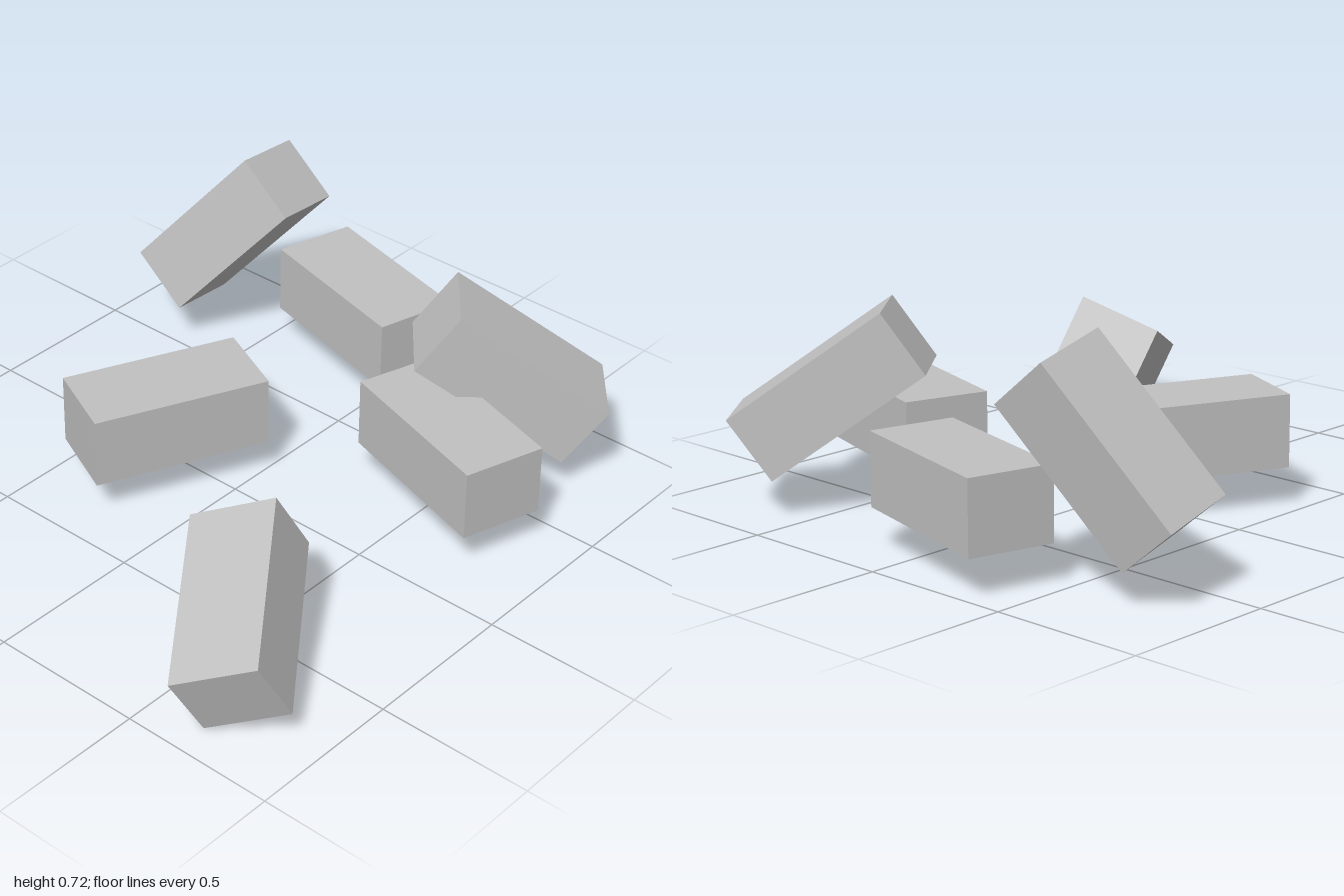
import * as THREE from 'three';

export function createModel() {
  const model = new THREE.Group();
  model.name = 'scatteredBricks';

  const brickGrey = new THREE.MeshStandardMaterial({ color: 0xc0c0c0 });
  brickGrey.name = 'brickGrey';

  // One brick shape shared by all: length, height, width
  const brick = new THREE.BoxGeometry(0.571, 0.228, 0.27);

  // Places a brick by its centre, its long direction and its up direction
  function addBrick(name, centre, along, up = [0, 1, 0]) {
    const x = new THREE.Vector3(...along).normalize();
    const z = x.clone().cross(new THREE.Vector3(...up)).normalize();
    const y = z.clone().cross(x);
    const mesh = new THREE.Mesh(brick, brickGrey);
    mesh.name = name;
    mesh.quaternion.setFromRotationMatrix(new THREE.Matrix4().makeBasis(x, y, z));
    mesh.position.set(...centre);
    model.add(mesh);
  }

  // Level bricks
  addBrick('middleBrick', [-0.217, 0.243, 0.077], [-0.237, 0, 0.52]);
  addBrick('backBrick', [-0.15, 0.243, -0.798], [0.55, 0, 0.147]);
  addBrick('leftBrick', [0.548, 0.243, -0.355], [0.55, 0, 0.173]);

  // Tumbled bricks
  addBrick('uprightBrick', [-0.618, 0.415, -0.685], [0.355, 0.43, -0.125], [-0.175, 0.145, 0]);
  addBrick('leaningBrick', [0.548, 0.378, -0.653], [0.355, -0.33, -0.3], [0.1, 0.19, -0.08]);
  addBrick('frontBrick', [0.613, 0.243, 0.665], [0.32, -0.175, 0.44], [-0.035, 0.2, 0.105]);

  return model;
}
